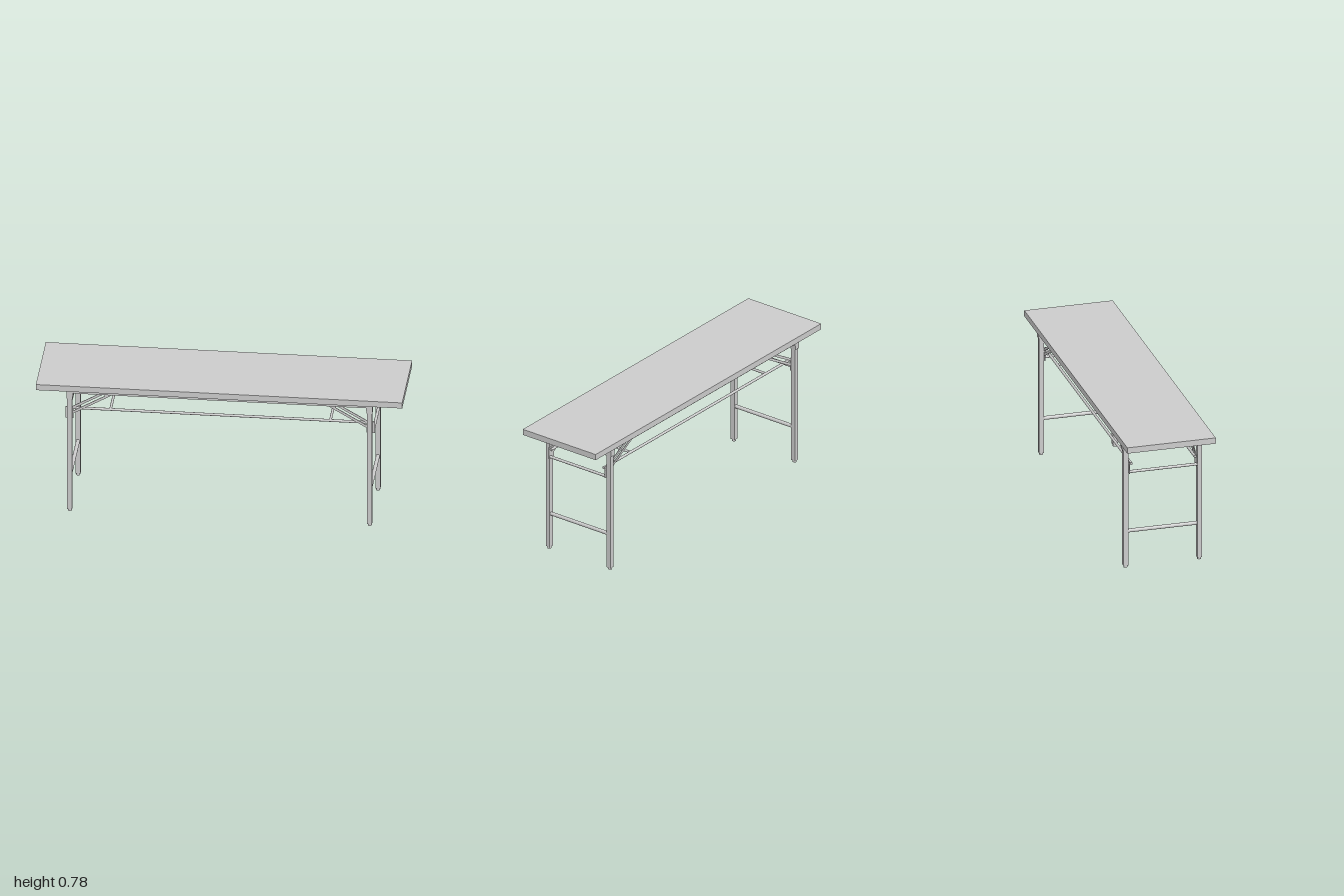
import * as THREE from 'three';

const material = new THREE.MeshStandardMaterial({ color: 0xcccccc });

function add(parent, name, geometry, x = 0, y = 0, z = 0) {
  const mesh = new THREE.Mesh(geometry, material);
  mesh.name = name;
  mesh.position.set(x, y, z);
  parent.add(mesh);
  return mesh;
}

const box = (w, h, d) => new THREE.BoxGeometry(w, h, d);
const rodZ = (r, length) => new THREE.CylinderGeometry(r, r, length, 20).rotateX(Math.PI / 2);
const rodX = (r, length) => new THREE.CylinderGeometry(r, r, length, 20).rotateZ(Math.PI / 2);

// Flat outline pulled out along z and centred on z = 0
function plate(shape, depth) {
  return new THREE.ExtrudeGeometry(shape, { depth, bevelEnabled: false, curveSegments: 10 })
    .translate(0, 0, -depth / 2);
}

// Rounded bar outline of a given length and radius, starting at the origin along +x
function capsule(path, start, end, r) {
  path.moveTo(start, -r);
  path.lineTo(end, -r);
  path.absarc(end, 0, r, -Math.PI / 2, Math.PI / 2, false);
  path.lineTo(start, r);
  path.absarc(start, 0, r, Math.PI / 2, Math.PI * 1.5, false);
  return path;
}

// Slotted folding brace running from the rail down to the leg
function braceGeometry() {
  const top = new THREE.Vector2(0.615, 0.715);
  const run = new THREE.Vector2(0.825, 0.594).sub(top);
  const length = run.length();
  const shape = capsule(new THREE.Shape(), 0, length, 0.02);
  shape.holes.push(capsule(new THREE.Path(), 0.025, length - 0.03, 0.006));
  return plate(shape, 0.004).rotateZ(run.angle()).translate(top.x, top.y, 0);
}

// Leg socket, narrowing from the rail to the leg
function socketGeometry() {
  const shape = new THREE.Shape();
  shape.moveTo(0.835, 0.745);
  shape.lineTo(0.795, 0.745);
  shape.lineTo(0.8, 0.715);
  shape.lineTo(0.803, 0.69);
  shape.lineTo(0.834, 0.69);
  return plate(shape, 0.036);
}

function createEnd() {
  const end = new THREE.Group();
  for (const side of [1, -1]) {
    const z = side * 0.2085;
    add(end, 'leg', box(0.027, 0.725, 0.027), 0.8185, 0.3745, z);
    add(end, 'foot', new THREE.CylinderGeometry(0.011, 0.011, 0.014, 20), 0.8185, 0.007, z);
    add(end, 'legSocket', socketGeometry(), 0, 0, z);
    add(end, 'foldingBrace', braceGeometry(), 0, 0, side * 0.192);
    add(end, 'latchPlate', box(0.045, 0.068, 0.004), 0.8225, 0.59, side * 0.1915);
    add(end, 'braceRivet', rodZ(0.008, 0.02), 0.615, 0.722, side * 0.197);
  }
  // Cross members joining the two legs and the shelf rods
  add(end, 'upperCrossbar', rodZ(0.008, 0.382), 0.834, 0.565, 0);
  add(end, 'lowerCrossbar', rodZ(0.0105, 0.395), 0.8185, 0.212, 0);
  add(end, 'shelfCrossbar', rodZ(0.007, 0.36), 0.6, 0.613, 0);
  return end;
}

export function createModel() {
  const model = new THREE.Group();
  model.name = 'foldingTable';
  add(model, 'tabletop', box(2, 0.034, 0.5), 0, 0.762, 0);

  // Rails under the top and the long shelf rods
  for (const side of [1, -1]) {
    add(model, 'rail', box(1.61, 0.025, 0.024), 0, 0.7325, side * 0.2085);
    add(model, 'shelfRod', rodX(0.0075, 1.68), 0, 0.613, side * 0.18);
  }

  // Two matching leg frames
  for (const [name, angle] of [['leftLegFrame', 0], ['rightLegFrame', Math.PI]]) {
    const end = createEnd();
    end.name = name;
    end.rotation.y = angle;
    model.add(end);
  }
  return model;
}
